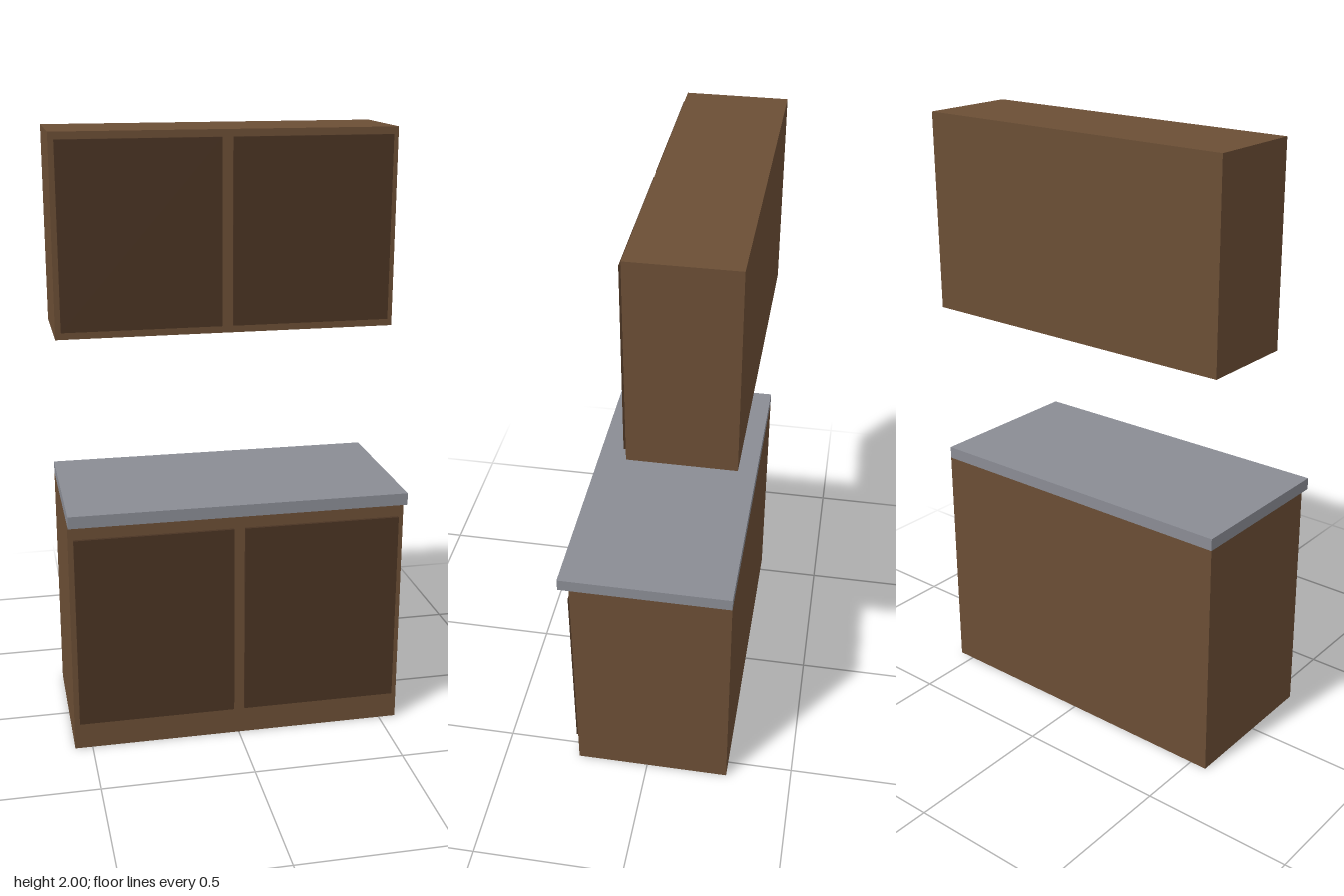
import * as THREE from 'three';

export function createModel() {
  const group = new THREE.Group();
  const material = (name, color) => {
    const m = new THREE.MeshStandardMaterial({ color });
    m.name = name;
    return m;
  };
  const wood = material('wood', 0x6b4e35);
  const darkWood = material('darkWood', 0x4a3423);
  const stone = material('stone', 0x8a8c94);

  // Box given by its limits on each axis
  const box = (name, mat, [x0, x1], [y0, y1], [z0, z1]) => {
    const mesh = new THREE.Mesh(new THREE.BoxGeometry(x1 - x0, y1 - y0, z1 - z0), mat);
    mesh.position.set((x0 + x1) / 2, (y0 + y1) / 2, (z0 + z1) / 2);
    mesh.name = name;
    group.add(mesh);
  };

  const width = [-0.558, 0.558];
  const back = -0.279;

  // Mirrored pair of doors standing slightly proud of a cabinet front
  const doors = (name, y, z) => {
    box(name + 'Left', darkWood, [0.018, 0.54], y, z);
    box(name + 'Right', darkWood, [-0.54, -0.018], y, z);
  };

  // Base cabinet with overhanging worktop
  box('baseCabinet', wood, width, [0, 0.8], [back, 0.242]);
  doors('baseDoor', [0.093, 0.747], [0.242, 0.252]);
  box('worktop', stone, width, [0.8, 0.84], [back, 0.279]);

  // Shallower wall cabinet above
  box('wallCabinet', wood, width, [1.353, 2], [back, 0.045]);
  doors('wallDoor', [1.377, 1.977], [0.045, 0.055]);

  return group;
}
